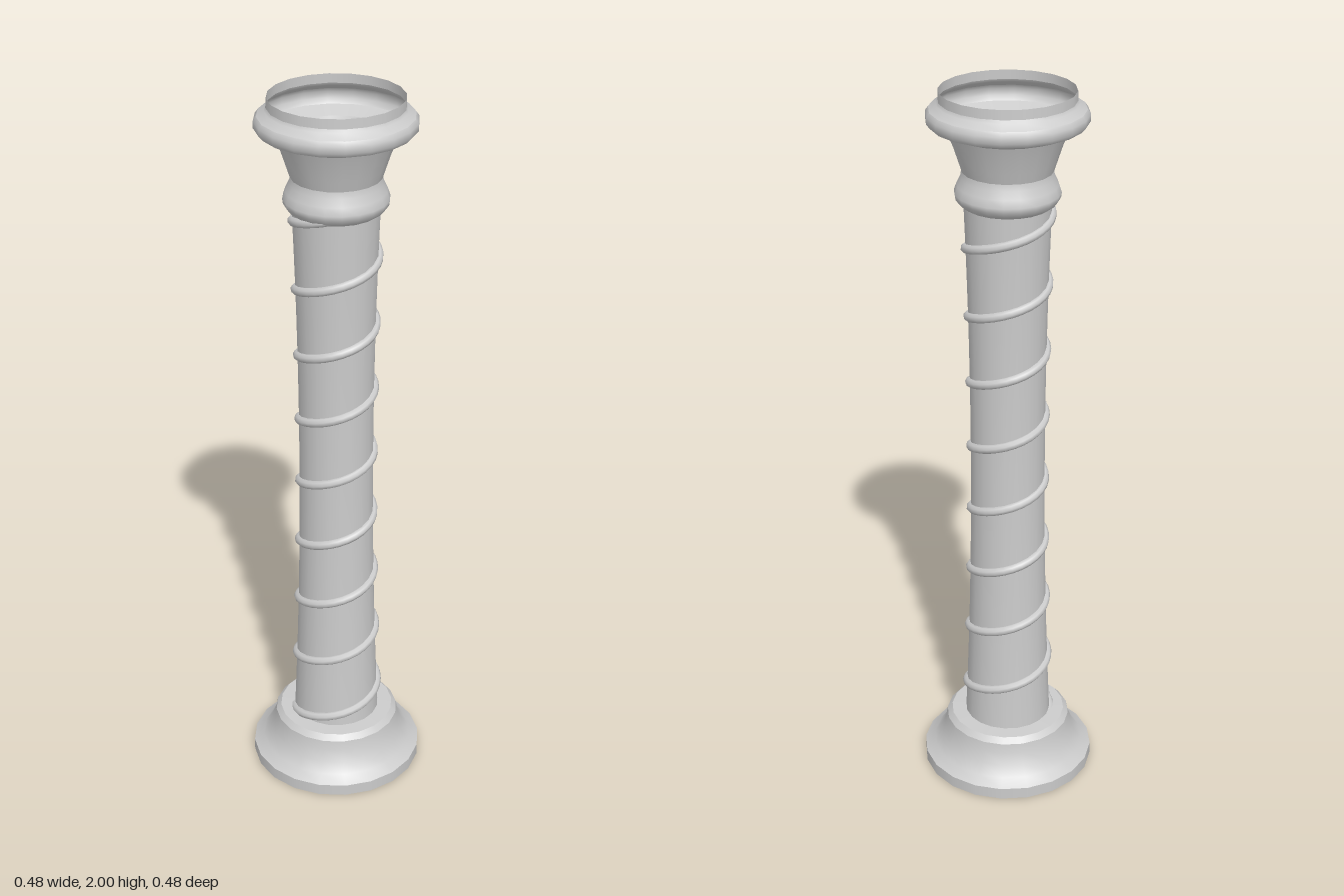
import * as THREE from 'three';

const SIDES = 20;

// Shaft radius at height y: waisted, slimmest just above the middle
function shaftRadius(y) {
  const d = y - 1.02;
  return 0.101 + (d < 0 ? 0.027 : 0.028) * d * d;
}

export function createModel() {
  const model = new THREE.Group();
  const material = new THREE.MeshStandardMaterial({ color: 0xcccccc, side: THREE.DoubleSide });

  const add = (parent, name, geometry) => {
    const mesh = new THREE.Mesh(geometry, material);
    mesh.name = name;
    parent.add(mesh);
  };

  // Each band is smooth within itself; the edges between bands stay sharp
  const turned = (name, bands) => {
    const group = new THREE.Group();
    group.name = name;
    bands.forEach((band, i) => {
      const points = band.map(([r, y]) => new THREE.Vector2(r, y));
      add(group, `${name}Band${i + 1}`, new THREE.LatheGeometry(points, SIDES));
    });
    model.add(group);
  };

  // Open flared foot
  turned('base', [
    [[0.242, 0], [0.242, 0.033]],
    [[0.242, 0.033], [0.214, 0.052], [0.194, 0.08], [0.181, 0.113], [0.176, 0.14]],
    [[0.176, 0.14], [0.162, 0.155]],
    [[0.162, 0.155], [shaftRadius(0.155), 0.157]],
  ]);

  // Hollow waisted shaft
  const shaft = [];
  for (let i = 0; i <= 16; i++) {
    const y = 0.155 + (1.7 - 0.155) * i / 16;
    shaft.push([shaftRadius(y), y]);
  }
  turned('shaft', [shaft]);

  // Neck collar
  turned('collar', [
    [[shaftRadius(1.7), 1.7], [0.126, 1.708], [0.136, 1.722], [0.138, 1.735], [0.131, 1.755], [0.121, 1.775], [0.118, 1.792]],
  ]);

  // Open flared capital with rolled lip and rim
  turned('capital', [
    [[0.118, 1.792], [0.127, 1.82], [0.14, 1.86], [0.154, 1.895]],
    [[0.154, 1.895], [0.198, 1.912]],
    [[0.198, 1.912], [0.208, 1.924], [0.208, 1.942], [0.2, 1.953]],
    [[0.2, 1.953], [0.18, 1.967], [0.176, 1.975]],
    [[0.176, 1.975], [0.175, 2]],
  ]);

  // Spiral cord wound up the shaft
  const pitch = 0.1907, y0 = 0.145, y1 = 1.715;
  const cord = [];
  const steps = 200;
  for (let i = 0; i <= steps; i++) {
    const y = y0 + (y1 - y0) * i / steps;
    const a = (y - 0.215) / pitch * Math.PI * 2;
    const r = shaftRadius(y);
    cord.push(new THREE.Vector3(Math.cos(a) * r, y, -Math.sin(a) * r));
  }
  add(model, 'spiralCord', new THREE.TubeGeometry(new THREE.CatmullRomCurve3(cord), 240, 0.0125, 8, false));

  return model;
}
